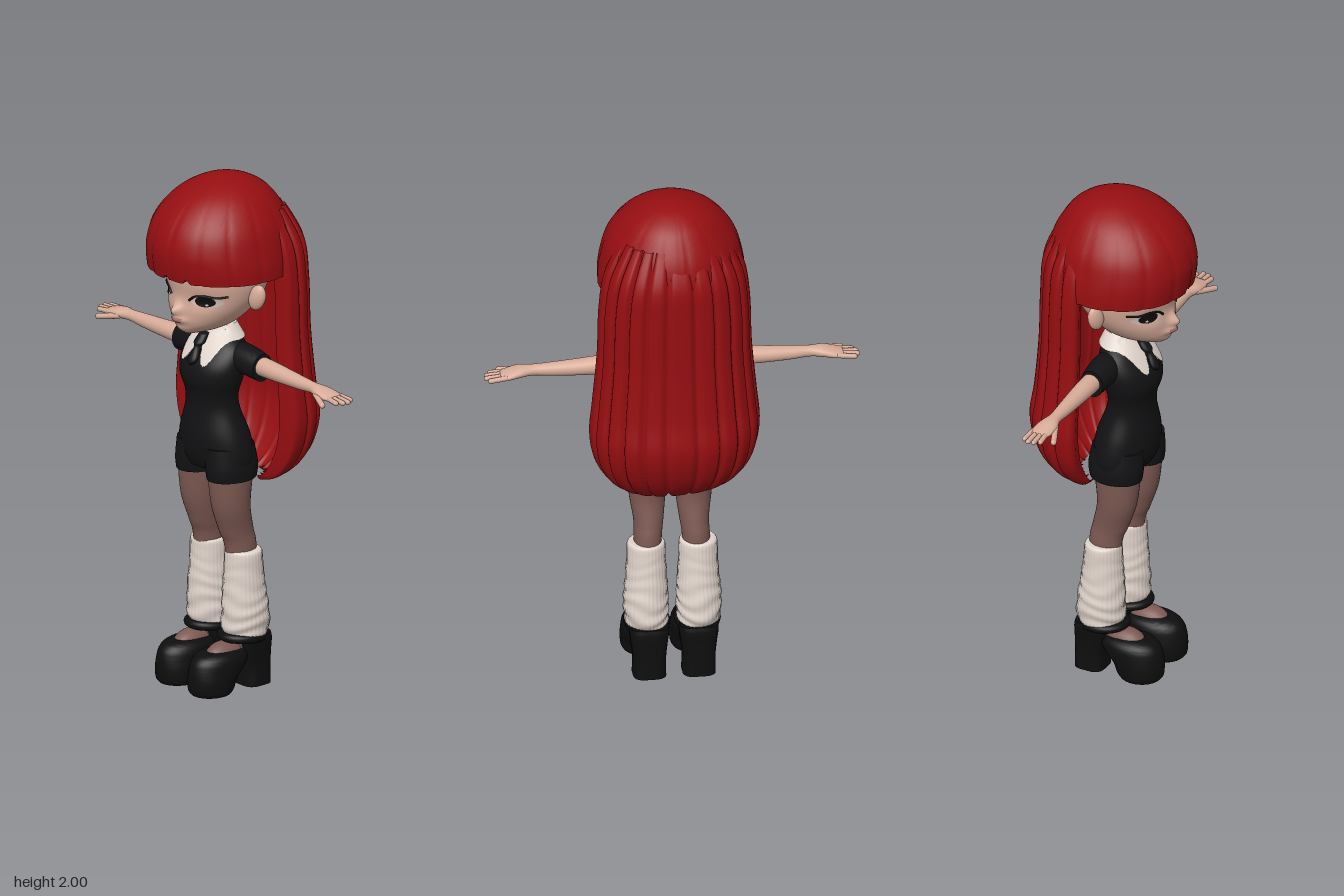
import * as THREE from 'three';
import { toCreasedNormals } from 'three/addons/utils/BufferGeometryUtils.js';

const PI = Math.PI;
const paint = (name, color) => Object.assign(new THREE.MeshStandardMaterial({ color }), { name });

// Smooth interpolation through rows of numbers, t from 0 to 1
const spline = (a, b, c, d, t) => b + 0.5 * t * (c - a + t * (2 * a - 5 * b + 4 * c - d + t * (3 * (b - c) + d - a)));
function sample(keys, t) {
  const n = keys.length - 1, i = Math.min(Math.floor(t * n), n - 1);
  const at = k => keys[Math.max(0, Math.min(n, k))];
  return keys[0].map((_, c) => spline(at(i - 1)[c], at(i)[c], at(i + 1)[c], at(i + 2)[c], t * n - i));
}

// Surface of nv + 1 rows, each closed into a ring of nu points
function grid(nu, nv, f) {
  const pos = [], idx = [];
  for (let j = 0; j <= nv; j++) for (let i = 0; i < nu; i++) pos.push(...f(i / nu, j).toArray());
  for (let j = 0; j < nv; j++) for (let i = 0; i < nu; i++) {
    const k = (i + 1) % nu, a = j * nu + i, b = j * nu + k;
    idx.push(a, a + nu, b, b, a + nu, b + nu);
  }
  const g = new THREE.BufferGeometry();
  g.setAttribute('position', new THREE.Float32BufferAttribute(pos, 3));
  g.setIndex(idx);
  g.computeVertexNormals();
  return g;
}

// Capped loft of ellipses; each key is [y, centre x, half width, back z, front z]
function loft(keys, nu = 32, nv = 24, mod = null) {
  return grid(nu, nv + 2, (u, row) => {
    const t = Math.max(0, Math.min(1, (row - 1) / nv)), a = u * 2 * PI;
    const [y, cx, rx, zb, zf] = sample(keys, t), cz = (zf + zb) / 2;
    const p = new THREE.Vector3(cx, y, cz);
    if (row === 0 || row === nv + 2) return p;
    p.x += rx * Math.cos(a);
    p.z += (zf - zb) / 2 * Math.sin(a);
    if (mod) mod(p, a, t, cz);
    return p;
  });
}
const crisp = g => toCreasedNormals(g, 0.8);

// Front z of a loft at a given x and y
function frontZ(keys, x, y) {
  let lo = 0, hi = 1;
  for (let k = 0; k < 30; k++) { const m = (lo + hi) / 2; if (sample(keys, m)[0] < y) lo = m; else hi = m; }
  const [, cx, rx, zb, zf] = sample(keys, lo);
  return (zf + zb) / 2 + (zf - zb) / 2 * Math.sqrt(Math.max(0, 1 - ((x - cx) / rx) ** 2));
}

const HEAD = [[1.412, 0, .03, .06, .195], [1.43, 0, .075, 0, .215], [1.46, 0, .118, -.05, .23], [1.51, 0, .158, -.1, .235],
  [1.57, 0, .185, -.14, .232], [1.64, 0, .195, -.16, .24], [1.75, 0, .19, -.17, .24], [1.85, 0, .14, -.12, .18]];
const TORSO = [[.87, 0, .163, -.05, .14], [.92, 0, .17, -.065, .16], [1, 0, .155, -.055, .165], [1.1, 0, .12, -.02, .153],
  [1.16, 0, .118, -.015, .157], [1.22, 0, .137, -.03, .175], [1.28, 0, .145, -.04, .165], [1.34, 0, .135, -.045, .125],
  [1.38, 0, .09, -.03, .09], [1.41, 0, .05, -.02, .065]];

// Nose, lips, chin and eye sockets
const bump = (x, y, cx, cy, sx, sy) => Math.exp(-(((x - cx) / sx) ** 2) - ((y - cy) / sy) ** 2);
const relief = (x, y) => .034 * bump(x, y, 0, 1.512, .022, .024) + .02 * bump(x, y, 0, 1.475, .035, .014)
  + .008 * bump(x, y, 0, 1.435, .04, .02) - .008 * bump(Math.abs(x), y, .105, 1.56, .05, .03);
const faceZ = (x, y) => frontZ(HEAD, x, y) + relief(x, y);

// Thin oval plate lying on the face
const facePlate = (cx, cy, rx, ry, lift) => grid(32, 6, (u, j) => {
  const x = cx + rx * j / 6 * Math.cos(u * 2 * PI), y = cy + ry * j / 6 * Math.sin(u * 2 * PI);
  return new THREE.Vector3(x, y, faceZ(x, y) + lift);
});

// Rounded rod between two points
function rod(a, b, r) {
  const A = new THREE.Vector3(...a), d = new THREE.Vector3(...b).sub(A);
  const g = new THREE.CapsuleGeometry(r, d.length(), 5, 10);
  g.applyQuaternion(new THREE.Quaternion().setFromUnitVectors(new THREE.Vector3(0, 1, 0), d.clone().normalize()));
  return g.translate(...A.addScaledVector(d, .5).toArray());
}

export function createModel() {
  const root = new THREE.Group();
  const hair = paint('hair red', 0x960e11), skin = paint('skin', 0xd6ab98), tights = paint('brown tights', 0x7d5952);
  const cloth = paint('black cloth', 0x121214), leather = paint('black leather', 0x0e0e0f), wool = paint('cream wool', 0xdfd3ca);
  const lip = paint('lips', 0xa86a64), eyeWhite = paint('eye white', 0xd2c0b6), ink = paint('eye black', 0x100b0b);
  const add = (name, geo, mat, parent = root) => {
    const m = new THREE.Mesh(geo, mat);
    m.name = name;
    parent.add(m);
    return m;
  };

  // Head and neck
  add('head', loft(HEAD, 128, 56, (p, a) => { if (Math.sin(a) > 0) p.z += relief(p.x, p.y); }), skin);
  add('neck', loft([[1.33, 0, .045, -.025, .065], [1.4, 0, .041, -.02, .06], [1.47, 0, .043, -.02, .065]]), skin);
  add('upperLip', facePlate(0, 1.481, .03, .006, .003), lip);
  add('lowerLip', facePlate(0, 1.47, .026, .007, .003), lip);

  // Hair cap with a straight fringe
  const groove = (a, n) => (1 - Math.abs(Math.sin(n * a))) ** 3;
  const capKeys = [[1.65, 0, .277, -.25, .3], [1.7, 0, .276, -.252, .308], [1.76, 0, .266, -.25, .31], [1.83, 0, .246, -.232, .29],
    [1.89, 0, .21, -.2, .247], [1.94, 0, .163, -.16, .187], [1.975, 0, .105, -.105, .115], [1.993, 0, .05, -.05, .055], [2, 0, .004, -.004, .004]];
  add('hairCap', crisp(loft(capKeys, 160, 40, (p, a, t, cz) => {
    const k = 1 - .025 * groove(a + .35, 7) * (1 - t);
    p.x *= k;
    p.z = cz + (p.z - cz) * k;
    if (Math.sin(a) > 0) p.y += .02 * Math.max(0, 1 - t * 5) * (bump(p.x, 0, .005, 0, .008, 1) + bump(p.x, 0, .1, 0, .008, 1));
  })), hair);

  // Long hair: crescent sections of [y, half width, depth, thickness]
  const longKeys = [[.81, .14, .09, 0], [.83, .205, .145, .04], [.88, .262, .205, .06], [.96, .306, .25, .065], [1.07, .324, .272, .065],
    [1.2, .313, .253, .06], [1.4, .295, .237, .055], [1.6, .288, .232, .055], [1.75, .264, .222, .05], [1.88, .195, .16, .04]];
  add('longHair', grid(240, 70, (u, j) => {
    const outer = u < .5, a = PI + PI * (outer ? u * 2 : 2 - u * 2);
    const [y, hx, depth, thick] = sample(longKeys, j / 70);
    const inset = (outer ? 0 : Math.max(0, thick)) + .022 * groove(a, 11) * (outer ? 1 : .3);
    const c = Math.cos(a), s = Math.sin(a);
    const x = (hx - inset) * Math.sign(c) * Math.abs(c) ** .85;
    const z = -.03 - (depth + .01 - inset) * Math.abs(s) ** .85 - x * .06;
    const ragged = .02 * Math.max(0, 1 - j / 14) * groove(a, 11);
    return new THREE.Vector3(x, y + ragged, z);
  }), hair);

  // Romper, collar and tie
  add('romper', loft(TORSO, 48, 50), cloth);
  add('collar', crisp(loft([[1.372, 0, .102, -.055, .105], [1.42, 0, .055, -.035, .08]], 96, 10, (p, a, t) => {
    const d = Math.abs(a - PI / 2), w = 1 - t;
    if (d > 1.25) return;
    p.y -= .088 * w * (Math.sin(Math.min(1, d / 1.25) * PI) ** 1.2 + .03 * Math.sin(a * 40));
    p.z = Math.max(p.z, frontZ(TORSO, p.x, p.y) + .012);
  })), wool);
  add('tie', loft([[1.28, 0, .004, .155, .18], [1.3, 0, .023, .15, .18], [1.345, 0, .013, .12, .155],
    [1.362, 0, .024, .11, .15], [1.392, 0, .019, .09, .125]], 20, 24), cloth);

  // Everything that comes in pairs, built on +x and mirrored
  for (const side of [1, -1]) {
    const half = new THREE.Group();
    half.name = side > 0 ? 'leftSide' : 'rightSide';
    half.scale.x = side;
    root.add(half);
    const put = (name, geo, mat) => add(name, geo, mat, half);

    // Eye, lashes and ear
    put('eyeWhite', facePlate(.108, 1.56, .048, .021, .003), eyeWhite);
    put('iris', facePlate(.106, 1.562, .032, .021, .005), ink);
    put('eyeGlint', facePlate(.113, 1.55, .005, .004, .007), eyeWhite);
    const lid = [[.05, 1.56], [.07, 1.577], [.105, 1.585], [.14, 1.579], [.168, 1.583]]
      .map(([x, y]) => new THREE.Vector3(x, y, faceZ(x, y) + .003));
    put('lashes', new THREE.TubeGeometry(new THREE.CatmullRomCurve3(lid), 24, .0045, 6), ink);
    put('ear', new THREE.SphereGeometry(1, 20, 14).scale(.034, .052, .022).rotateZ(-.3).rotateY(.35).translate(.207, 1.568, .025), skin);

    // Sleeve, arm and hand, lofted outward along x
    put('sleeve', crisp(loft([[.07, -1.312, .05, -.03, .075], [.12, -1.308, .056, -.035, .08], [.18, -1.302, .056, -.033, .076],
      [.232, -1.295, .054, -.027, .068]], 32, 16).rotateZ(-PI / 2)), cloth);
    put('arm', loft([[.18, -1.3, .037, -.02, .056], [.28, -1.298, .035, -.019, .054], [.36, -1.296, .031, -.016, .05],
      [.45, -1.295, .026, -.01, .045], [.52, -1.296, .021, -.005, .042], [.57, -1.294, .021, -.018, .056],
      [.61, -1.288, .018, -.026, .056], [.645, -1.284, .011, -.025, .046]], 28, 40).rotateZ(-PI / 2), skin);
    [-.018, .001, .02, .038].forEach((z, i) =>
      put('finger', rod([.625, 1.287, z], [[.685, .698, .695, .68][i], 1.282, z * 1.15 - .002], .0098), skin));
    put('thumb', rod([.565, 1.288, .045], [.643, 1.272, .078], .0115), skin);

    // Shorts, leg and leg warmer
    put('shortsLeg', crisp(loft([[.832, .087, .081, -.055, .15], [.88, .086, .083, -.062, .156], [.96, .08, .076, -.05, .155]], 36, 12)), cloth);
    put('leg', loft([[.12, .095, .045, -.06, .05], [.3, .097, .05, -.06, .05], [.54, .091, .052, -.058, .07], [.62, .086, .056, -.045, .096],
      [.72, .087, .069, -.025, .128], [.84, .086, .077, -.035, .142], [.9, .086, .074, -.035, .14]], 36, 36), tights);
    const warmer = [[.2, .098, .072, -.092, .066], [.225, .098, .082, -.103, .082], [.3, .1, .084, -.1, .084], [.38, .098, .079, -.088, .08],
      [.47, .098, .073, -.076, .073], [.53, .098, .071, -.07, .07], [.542, .098, .058, -.06, .06]];
    put('legWarmer', loft(warmer, 128, 56, (p, a, t, cz) => {
      const fold = .045 * Math.sin(p.y * 105 + 1.8 * Math.sin(2 * a + p.y * 20)) * Math.max(0, 1 - t * 1.2);
      const k = 1 + fold + .01 * Math.sin(32 * a);
      p.x = .098 + (p.x - .098) * k;
      p.z = cz + (p.z - cz) * k;
    }), wool);

    // Platform shoe with block heel and ankle strap
    put('foot', new THREE.SphereGeometry(1, 24, 16).scale(.052, .055, .085).translate(.093, .138, .09), tights);
    put('shoeToe', crisp(loft([[.003, .093, .072, .075, .232], [.02, .093, .08, .062, .244], [.06, .093, .083, .045, .247],
      [.095, .093, .083, .01, .245], [.13, .093, .08, -.01, .236], [.152, .093, .069, 0, .215], [.163, .093, .05, .04, .185]], 40, 28)), leather);
    const square = (p, a, t, cz) => {
      const k = 1 + .16 * Math.sin(2 * a) ** 2;
      p.x = .093 + (p.x - .093) * k;
      p.z = cz + (p.z - cz) * k;
    };
    put('shoeHeel', crisp(loft([[0, .093, .062, -.106, .012], [.07, .093, .061, -.105, .012], [.13, .093, .067, -.105, .025],
      [.18, .093, .074, -.105, .035], [.205, .093, .073, -.1, .03]], 40, 20, square)), leather);
    put('ankleStrap', new THREE.TorusGeometry(.074, .014, 10, 40).rotateX(PI / 2).scale(1, 1.15, 1.15).rotateX(-.06)
      .translate(.095, .2, .002), leather);
  }
  return root;
}
